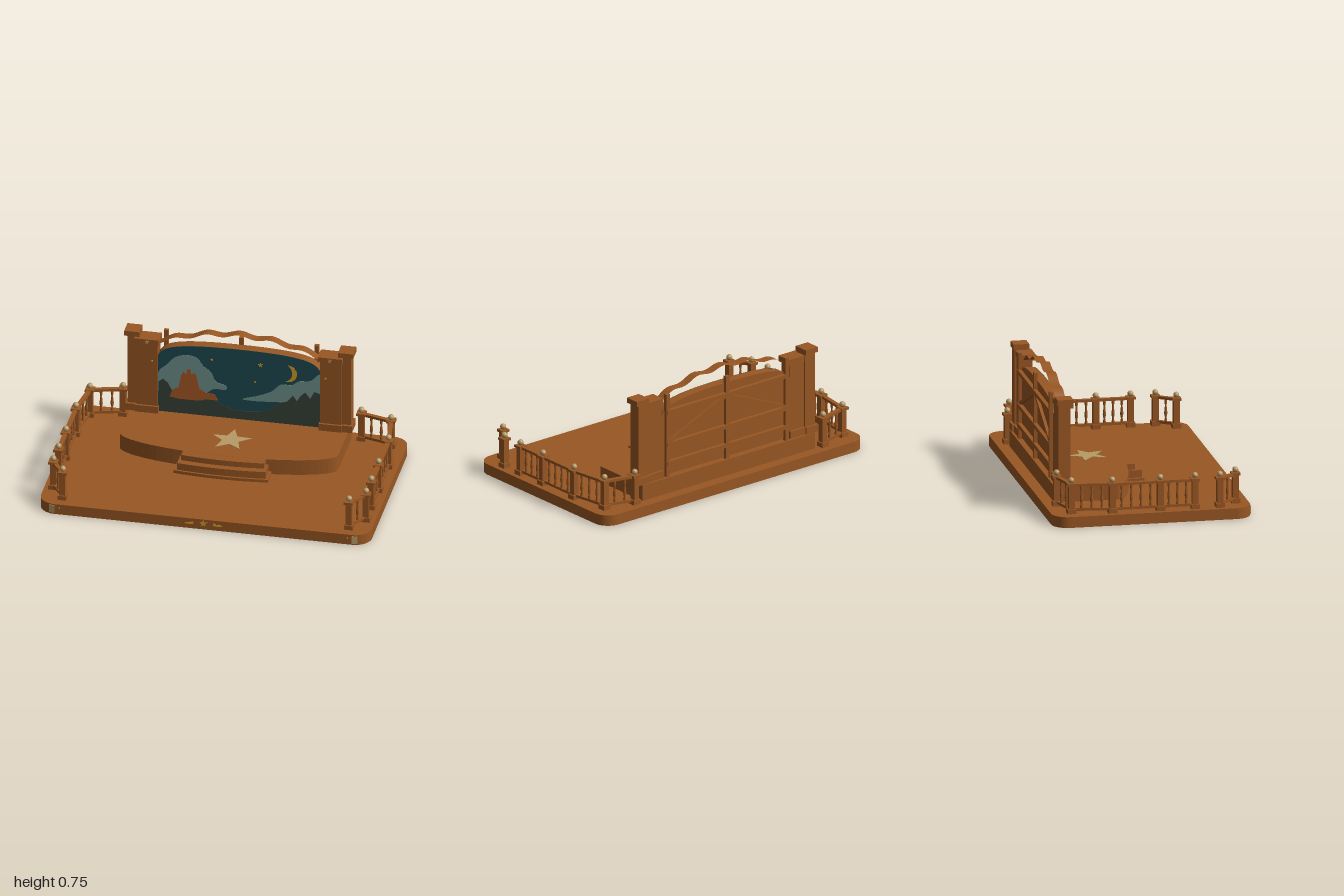
import * as THREE from 'three';

const mat = (name, color) => Object.assign(new THREE.MeshStandardMaterial({ color }), { name });

export function createModel() {
  const wood = mat('wood brown', 0x995723);
  wood.side = THREE.DoubleSide; // the garland ribbon is open
  const tan = mat('tan', 0xb89a66);
  const teal = mat('night teal', 0x1f4c54);
  const mist = mat('cloud mist', 0x71958f);
  const green = mat('hill green', 0x38443a);
  const rust = mat('castle rust', 0xa85a28);
  const gold = mat('gold', 0xd9a022);

  const model = new THREE.Group();
  model.name = 'outdoorStage';

  const add = (name, geo, material, parent = model) => {
    const m = new THREE.Mesh(geo, material);
    m.name = name;
    parent.add(m);
    return m;
  };
  // box given by its limits
  const box = (name, x0, x1, y0, y1, z0, z1, parent = model) => {
    const m = add(name, new THREE.BoxGeometry(x1 - x0, y1 - y0, z1 - z0), wood, parent);
    m.position.set((x0 + x1) / 2, (y0 + y1) / 2, (z0 + z1) / 2);
    return m;
  };
  // floor-plan shape (x, z) extruded between two heights
  const slab = (name, shape, y0, y1, material = wood) => {
    const g = new THREE.ExtrudeGeometry(shape, { depth: y1 - y0, bevelEnabled: false, curveSegments: 16 });
    add(name, g.rotateX(Math.PI / 2).translate(0, y1, 0), material);
  };
  // upright plate (x, y) starting at z
  const plate = (name, shape, z, material, depth = 0.002) => {
    const g = new THREE.ExtrudeGeometry(shape, { depth, bevelEnabled: false, curveSegments: 6 });
    return add(name, g.translate(0, 0, z), material);
  };
  const poly = (pts) => new THREE.Shape(pts.map(([x, y]) => new THREE.Vector2(x, y)));
  const blob = (pts) => {
    const c = new THREE.CatmullRomCurve3(pts.map(([x, y]) => new THREE.Vector3(x, y, 0)), true);
    return poly(c.getPoints(pts.length * 4).slice(0, -1).map((p) => [p.x, p.y]));
  };
  const star = (x, y, r, inner = 0.42, up = 1) => poly(Array.from({ length: 10 }, (_, i) => {
    const a = Math.PI / 2 + i * Math.PI / 5, q = i % 2 ? r * inner : r;
    return [x + q * Math.cos(a), y + up * q * Math.sin(a)];
  }));
  const ellipse = (x, y, a, b) => new THREE.Shape().absellipse(x, y, a, b, 0, Math.PI * 2);

  // base with rounded corners
  const base = new THREE.Shape();
  base.absarc(0.9, 0.5, 0.1, 0, Math.PI / 2);
  base.absarc(-0.9, 0.5, 0.1, Math.PI / 2, Math.PI);
  base.absarc(-0.9, -0.5, 0.1, Math.PI, Math.PI * 1.5);
  base.absarc(0.9, -0.5, 0.1, Math.PI * 1.5, Math.PI * 2);
  slab('base', base, 0, 0.066);

  // raised platform and its curved steps
  const platform = new THREE.Shape();
  platform.moveTo(-0.66, -0.53);
  platform.lineTo(0.66, -0.53);
  platform.lineTo(0.66, -0.15);
  platform.absellipse(0, -0.15, 0.66, 0.15, 0, Math.PI);
  slab('platform', platform, 0.066, 0.165);
  for (const [w, edge, mid, top] of [[0.25, 0.04, 0.07, 0.165], [0.267, 0.08, 0.11, 0.13], [0.285, 0.09, 0.125, 0.085]]) {
    const s = new THREE.Shape();
    s.moveTo(-w, -0.05);
    s.lineTo(w, -0.05);
    s.lineTo(w, edge);
    s.quadraticCurveTo(0, mid, -w, edge);
    slab('step', s, 0.066, top - 0.0003);
  }
  slab('floorStar', star(0, -0.195, 0.125, 0.42, -1), 0.165, 0.168, tan);

  // paired pillars on each side
  for (const s of [-1, 1]) {
    const g = new THREE.Group();
    g.name = s > 0 ? 'leftPillars' : 'rightPillars';
    model.add(g);
    const b = (name, xa, xb, ...r) => box(name, Math.min(s * xa, s * xb), Math.max(s * xa, s * xb), ...r, g);
    b('outerPillar', 0.6, 0.675, 0.165, 0.67, -0.51, -0.435);
    b('outerCap', 0.6, 0.692, 0.668, 0.7, -0.517, -0.422);
    b('outerBase', 0.6, 0.685, 0.165, 0.21, -0.525, -0.42);
    b('innerPillar', 0.49, 0.618, 0.165, 0.632, -0.5, -0.425);
    b('innerCap', 0.48, 0.628, 0.63, 0.665, -0.505, -0.407);
    b('innerBase', 0.485, 0.625, 0.165, 0.21, -0.515, -0.412);
    plate('capStar', star(s * 0.552, 0.647, 0.015), -0.407, tan);
    plate('pillarStar', star(s * 0.525, 0.515, 0.01), -0.425, gold);
  }

  // arched backdrop board
  const arch = new THREE.Shape();
  arch.moveTo(-0.49, 0.172);
  arch.lineTo(0.49, 0.172);
  arch.lineTo(0.49, 0.55);
  arch.bezierCurveTo(0.46, 0.605, 0.41, 0.643, 0, 0.643);
  arch.bezierCurveTo(-0.41, 0.643, -0.46, 0.605, -0.49, 0.55);
  const board = new THREE.ExtrudeGeometry(arch, { depth: 0.06, bevelEnabled: false, curveSegments: 16 });
  add('backdropBoard', board.translate(0, 0, -0.5), wood);
  const sky = new THREE.ExtrudeGeometry(arch, { depth: 0.002, bevelEnabled: false, curveSegments: 16 });
  add('paintedSky', sky.translate(0, 0, -0.44), teal);

  // painted scenery, layered toward the front
  plate('cloudRightSide', blob([[-0.487, 0.44], [-0.44, 0.49], [-0.39, 0.545], [-0.32, 0.57], [-0.25, 0.555], [-0.22, 0.51],
    [-0.17, 0.47], [-0.14, 0.41], [-0.075, 0.385], [-0.08, 0.36], [-0.15, 0.36], [-0.22, 0.31], [-0.35, 0.28], [-0.487, 0.3]]), -0.438, mist);
  plate('cloudLeftSide', blob([[0.02, 0.31], [0.12, 0.345], [0.2, 0.385], [0.25, 0.435], [0.32, 0.44], [0.36, 0.47], [0.43, 0.48],
    [0.487, 0.53], [0.487, 0.36], [0.38, 0.33], [0.3, 0.32], [0.18, 0.31], [0.09, 0.305]]), -0.438, mist);
  plate('hills', poly([[-0.488, 0.173], [0.488, 0.173], [0.488, 0.4], [0.455, 0.41], [0.43, 0.36], [0.4, 0.4], [0.37, 0.37],
    [0.35, 0.335], [0.325, 0.37], [0.29, 0.325], [0.24, 0.31], [0.2, 0.265], [0.13, 0.237], [0.05, 0.228], [-0.03, 0.232],
    [-0.1, 0.255], [-0.15, 0.285], [-0.26, 0.27], [-0.36, 0.275], [-0.4, 0.31], [-0.43, 0.37], [-0.46, 0.395], [-0.488, 0.37]]), -0.436, green);
  plate('castle', poly([[-0.42, 0.28], [-0.4, 0.33], [-0.365, 0.35], [-0.35, 0.43], [-0.335, 0.46], [-0.32, 0.44], [-0.31, 0.48],
    [-0.295, 0.48], [-0.285, 0.44], [-0.27, 0.46], [-0.255, 0.43], [-0.24, 0.355], [-0.2, 0.33], [-0.15, 0.325], [-0.125, 0.285],
    [-0.2, 0.285], [-0.25, 0.27], [-0.36, 0.27]]), -0.434, rust);
  const moon = new THREE.Shape();
  moon.moveTo(0.295, 0.572);
  moon.bezierCurveTo(0.37, 0.565, 0.375, 0.45, 0.275, 0.455);
  moon.bezierCurveTo(0.33, 0.475, 0.335, 0.53, 0.295, 0.572);
  plate('moon', moon, -0.438, gold);
  for (const [x, y, r] of [[0.128, 0.553, 0.016], [-0.165, 0.556, 0.01], [0.097, 0.434, 0.008]])
    plate('skyStar', star(x, y, r), -0.438, gold);

  // bracing behind the board
  for (const x of [-0.455, 0, 0.455]) box('rearPost', x - 0.013, x + 0.013, 0.165, 0.69, -0.52, -0.498);
  for (const y of [0.575, 0.37, 0.25]) box('rearRail', -0.465, 0.465, y - 0.012, y + 0.012, -0.524, -0.498);
  for (const s of [-1, 1]) {
    const d = box('rearBrace', -0.23, 0.23, -0.01, 0.01, -0.518, -0.498);
    d.position.set(s * 0.228, 0.472, -0.508);
    d.rotation.z = -s * Math.atan2(0.185, 0.44);
  }

  // wavy ribbon above the arch
  const ribbon = new THREE.PlaneGeometry(0.97, 0.06, 60, 1).rotateX(-Math.PI / 2);
  const rp = ribbon.attributes.position;
  for (let i = 0; i < rp.count; i++) {
    const x = rp.getX(i);
    rp.setY(i, 0.738 - 0.4 * x * x + 0.01 * Math.cos(x * 32));
  }
  ribbon.translate(0, 0, -0.453).computeVertexNormals();
  add('garlandRibbon', ribbon, wood);

  // balustrades
  const profile = [[0.007, 0.095], [0.009, 0.105], [0.005, 0.12], [0.01, 0.145], [0.009, 0.16], [0.005, 0.195], [0.009, 0.22], [0.007, 0.235]];
  const balusterGeo = new THREE.LatheGeometry(profile.map(([r, y]) => new THREE.Vector2(r, y)), 10);
  const ballGeo = new THREE.SphereGeometry(0.018, 16, 12);
  const chains = [
    [[0.72, -0.53], [0.91, -0.48], [0.945, -0.24], [0.945, 0.05], [0.945, 0.26]],
    [[0.945, 0.41], [0.865, 0.52]],
  ];
  for (const s of [-1, 1]) for (const chain of chains) {
    const fence = new THREE.Group();
    fence.name = s > 0 ? 'leftBalustrade' : 'rightBalustrade';
    model.add(fence);
    chain.forEach(([px, z], i) => {
      const x = s * px;
      const post = (name, w, y0, y1) => box(name, x - w, x + w, y0, y1, z - w, z + w, fence);
      post('postBase', 0.026, 0.066, 0.094);
      post('postShaft', 0.018, 0.09, 0.238);
      post('postCap', 0.027, 0.236, 0.251);
      add('postBall', ballGeo, tan, fence).position.set(x, 0.268, z);
      if (!i) return;
      // rails and balusters back to the previous post
      const ax = s * chain[i - 1][0], az = chain[i - 1][1];
      const len = Math.hypot(x - ax, z - az);
      for (const [y, h, w] of [[0.24, 0.016, 0.026], [0.09, 0.016, 0.02]]) {
        const rail = add('fenceRail', new THREE.BoxGeometry(w, h, len), wood, fence);
        rail.position.set((x + ax) / 2, y, (z + az) / 2);
        rail.rotation.y = Math.atan2(x - ax, z - az);
      }
      const n = Math.round(len / 0.06);
      for (let k = 1; k < n; k++)
        add('baluster', balusterGeo, wood, fence).position.set(ax + (x - ax) * k / n, 0, az + (z - az) * k / n);
    });
  }

  // ornaments on the front edge of the base
  plate('frontStar', star(0, 0.04, 0.026), 0.6, gold);
  for (const s of [-1, 1]) {
    plate('frontScroll', ellipse(s * 0.085, 0.034, 0.028, 0.006), 0.6, gold);
    plate('frontLeaf', ellipse(s * 0.068, 0.04, 0.009, 0.008), 0.602, gold);
    plate('frontStud', star(s * 0.87, 0.045, 0.007), 0.6, gold);
    const badge = add('cornerBadge', new THREE.BoxGeometry(0.034, 0.05, 0.008), tan);
    badge.position.set(s * 0.915, 0.034, 0.598);
    badge.rotation.y = s * 0.15;
  }
  return model;
}
